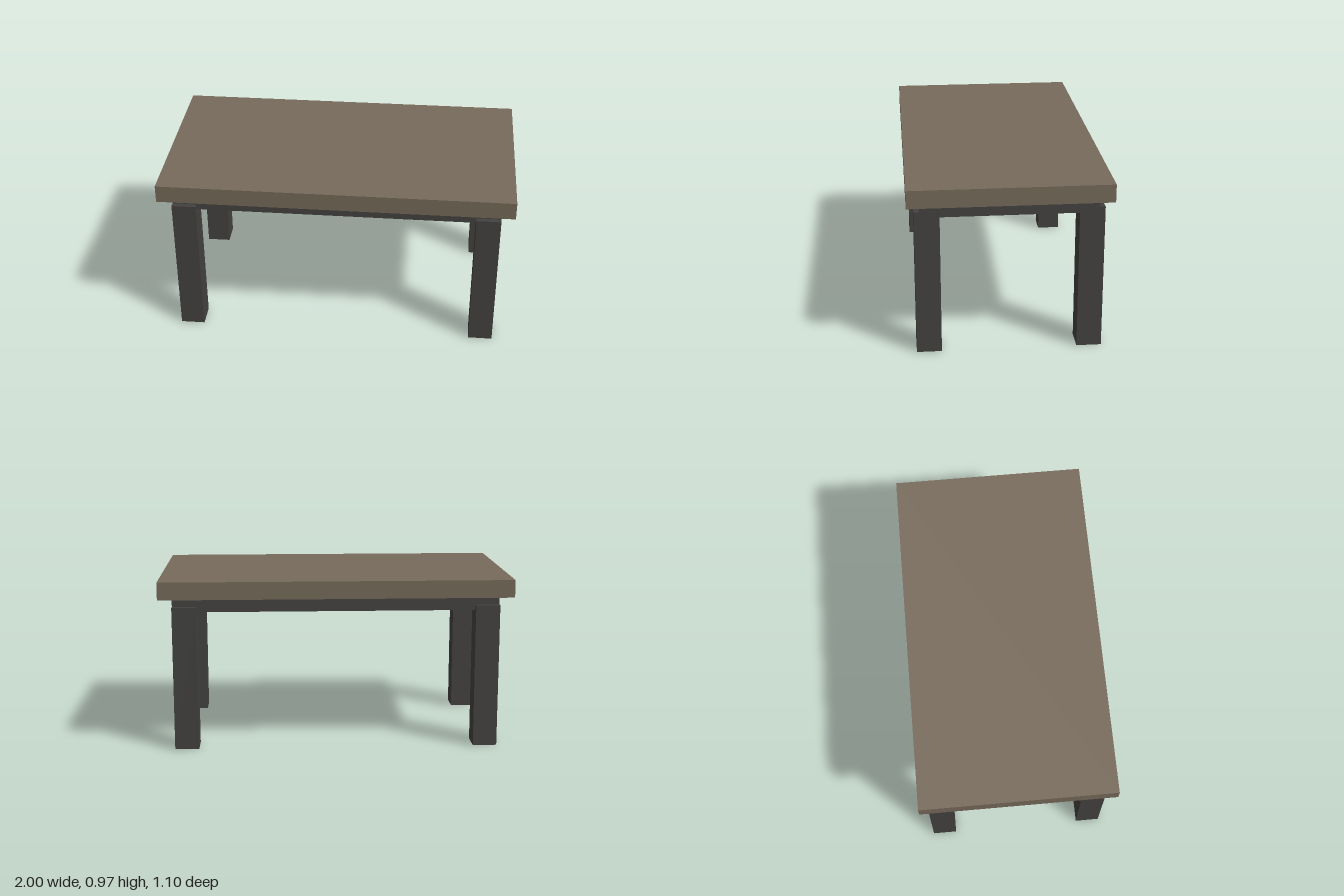
import * as THREE from 'three';

export function createModel() {
  const model = new THREE.Group();
  const wood = new THREE.MeshStandardMaterial({ color: 0x766a5a });
  const dark = new THREE.MeshStandardMaterial({ color: 0x434240 });

  // Box from its size, its bottom height and its centre in x and z
  function addBox(name, material, [w, h, d], bottom, x = 0, z = 0) {
    const mesh = new THREE.Mesh(new THREE.BoxGeometry(w, h, d), material);
    mesh.name = name;
    mesh.position.set(x, bottom + h / 2, z);
    model.add(mesh);
  }

  // Thick top on a solid, slightly smaller under-frame
  addBox('tableTop', wood, [2, 0.1, 1.1], 0.872);
  addBox('underFrame', dark, [1.85, 0.081, 0.96], 0.791);

  // Square legs, flush with the frame ends and proud of its long sides
  const leg = 0.137;
  for (const [sz, end] of [[1, 'front'], [-1, 'back']]) {
    for (const [sx, side] of [[1, 'Left'], [-1, 'Right']]) {
      addBox(`${end}${side}Leg`, dark, [leg, 0.822, leg], 0,
        sx * (0.926 - leg / 2), sz * (0.51 - leg / 2));
    }
  }
  return model;
}
